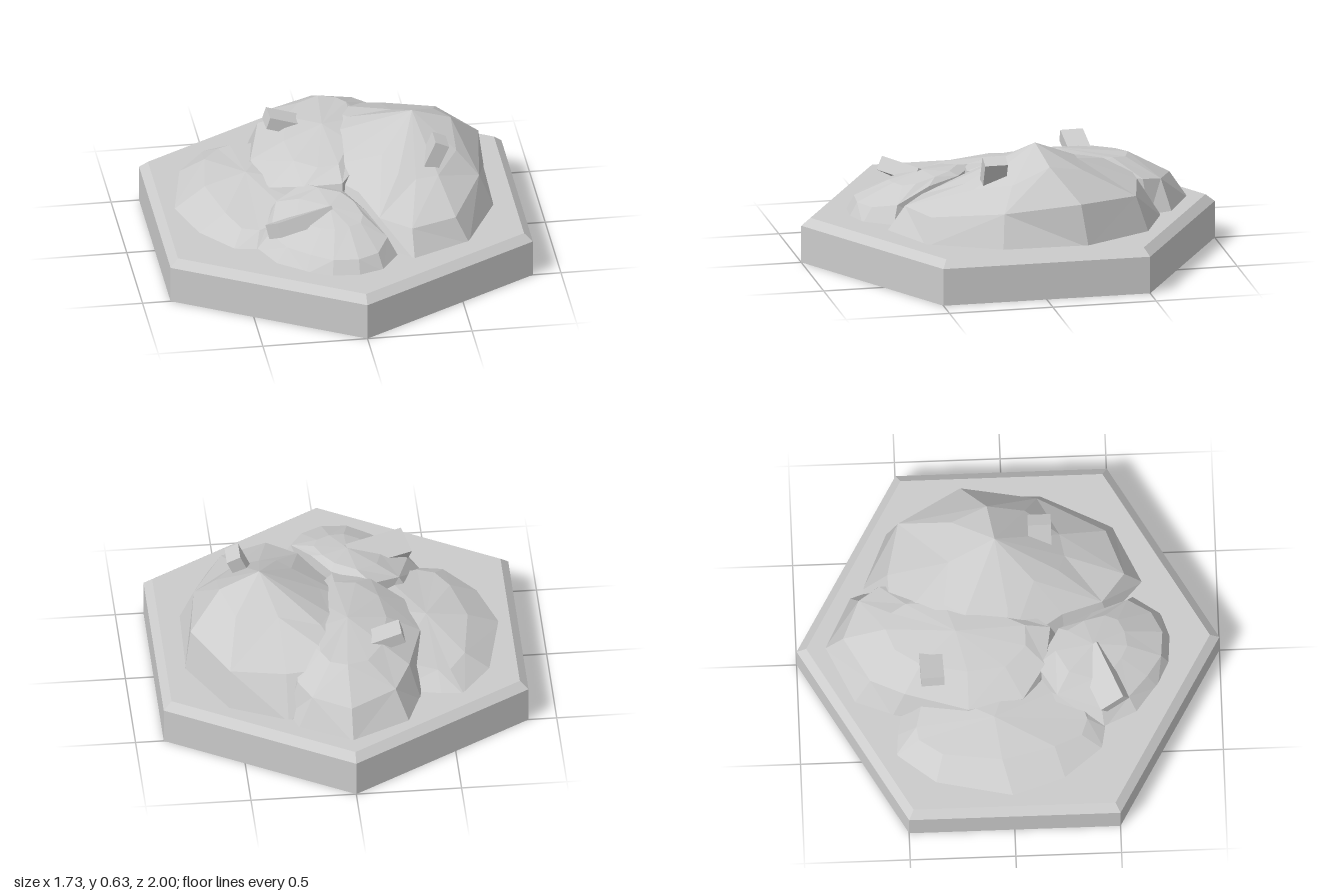
import * as THREE from 'three';

const material = new THREE.MeshStandardMaterial({ color: 0xcccccc, flatShading: true });

function add(group, name, geometry) {
  const mesh = new THREE.Mesh(geometry, material);
  mesh.name = name;
  group.add(mesh);
  return mesh;
}

// Faceted mound: a ground outline [x, z], rising rings [x, y, z] and a peak
function moundGeometry(outline, rings, peak) {
  const loops = [outline.map(([x, z]) => [x, 0.205, z]), ...rings];
  const n = outline.length;
  const pos = [];
  const tri = (a, b, c) => pos.push(...a, ...b, ...c);
  for (let i = 0; i < n; i++) {
    const j = (i + 1) % n;
    for (let k = 0; k < loops.length - 1; k++) {
      const [a, b, c, d] = [loops[k][i], loops[k][j], loops[k + 1][j], loops[k + 1][i]];
      // Alternate the diagonals for an irregular rock surface
      if ((i + k) % 2) { tri(a, b, c); tri(a, c, d); }
      else { tri(a, b, d); tri(b, c, d); }
    }
    const top = loops[loops.length - 1];
    tri(top[i], top[j], peak);
  }
  const geometry = new THREE.BufferGeometry();
  geometry.setAttribute('position', new THREE.Float32BufferAttribute(pos, 3));
  geometry.computeVertexNormals();
  return geometry;
}

export function createModel() {
  const group = new THREE.Group();

  // Hexagonal tile with a bevelled upper edge
  add(group, 'tileBase', new THREE.CylinderGeometry(1, 1, 0.18, 6)).position.y = 0.09;
  add(group, 'tileBevel', new THREE.CylinderGeometry(0.955, 1, 0.036, 6)).position.y = 0.198;

  // Tall mound on the model's left
  add(group, 'tallMound', moundGeometry(
    [[0.28, 0.65], [0.56, 0.52], [0.73, 0.18], [0.74, -0.23], [0.56, -0.56], [0.29, -0.68],
      [0, -0.65], [-0.25, -0.3], [-0.2, 0.05], [0, 0.27], [0.1, 0.48]],
    [
      [[0.28, 0.33, 0.56], [0.5, 0.33, 0.48], [0.66, 0.37, 0.16], [0.71, 0.41, -0.2],
        [0.55, 0.39, -0.5], [0.29, 0.4, -0.56], [0, 0.42, -0.55], [-0.15, 0.4, -0.3],
        [-0.1, 0.38, 0], [0.07, 0.38, 0.26], [0.14, 0.34, 0.45]],
      [[0.34, 0.44, 0.28], [0.45, 0.44, 0.26], [0.56, 0.48, 0.1], [0.56, 0.56, -0.08],
        [0.5, 0.52, -0.25], [0.3, 0.52, -0.27], [0.1, 0.48, -0.3], [0.05, 0.47, -0.2],
        [0.08, 0.47, 0], [0.2, 0.5, 0.13], [0.26, 0.46, 0.25]],
    ],
    [0.37, 0.63, -0.05]));

  // Broad mound at the back
  add(group, 'backMound', moundGeometry(
    [[0, 0.25], [0.15, 0], [0.25, -0.3], [0.29, -0.62], [0.25, -0.74], [0, -0.87],
      [-0.28, -0.74], [-0.35, -0.56], [-0.42, -0.2], [-0.37, 0.08], [-0.2, 0.2]],
    [
      [[0, 0.4, 0.2], [0.14, 0.43, 0], [0.22, 0.43, -0.3], [0.24, 0.38, -0.6],
        [0.18, 0.36, -0.7], [0, 0.34, -0.78], [-0.22, 0.35, -0.66], [-0.3, 0.37, -0.5],
        [-0.38, 0.34, -0.2], [-0.33, 0.33, 0.06], [-0.18, 0.38, 0.17]],
      [[0, 0.44, 0.08], [0.08, 0.46, -0.1], [0.12, 0.47, -0.3], [0.12, 0.46, -0.48],
        [0.08, 0.45, -0.55], [0, 0.45, -0.58], [-0.1, 0.44, -0.54], [-0.18, 0.44, -0.42],
        [-0.22, 0.43, -0.2], [-0.2, 0.42, -0.02], [-0.1, 0.43, 0.08]],
    ],
    [-0.03, 0.48, -0.25]));

  // Low mound on the model's right
  add(group, 'lowMound', moundGeometry(
    [[-0.45, 0.46], [-0.2, 0.4], [-0.1, 0], [-0.2, -0.5], [-0.45, -0.55],
      [-0.56, -0.56], [-0.71, -0.37], [-0.79, 0], [-0.71, 0.25], [-0.56, 0.44]],
    [
      [[-0.42, 0.27, 0.36], [-0.25, 0.3, 0.3], [-0.2, 0.33, 0], [-0.25, 0.32, -0.4],
        [-0.44, 0.29, -0.45], [-0.5, 0.28, -0.44], [-0.58, 0.29, -0.33],
        [-0.62, 0.3, -0.05], [-0.56, 0.29, 0.2], [-0.5, 0.27, 0.33]],
    ],
    [-0.42, 0.345, -0.08]));

  // Rounded mound at the front
  add(group, 'frontMound', moundGeometry(
    [[0, 0.77], [0.12, 0.73], [0.21, 0.6], [0.1, 0.4], [0, 0.2], [-0.2, 0.1],
      [-0.4, 0.2], [-0.45, 0.44], [-0.38, 0.6], [-0.25, 0.7], [-0.13, 0.76]],
    [
      [[0, 0.28, 0.73], [0.1, 0.28, 0.68], [0.16, 0.3, 0.57], [0.08, 0.36, 0.4],
        [0, 0.38, 0.24], [-0.18, 0.38, 0.13], [-0.32, 0.34, 0.22], [-0.38, 0.29, 0.43],
        [-0.32, 0.28, 0.56], [-0.22, 0.28, 0.65], [-0.12, 0.28, 0.72]],
      [[-0.02, 0.36, 0.55], [0.04, 0.36, 0.52], [0.06, 0.37, 0.46], [0.03, 0.39, 0.36],
        [-0.02, 0.4, 0.28], [-0.12, 0.4, 0.22], [-0.22, 0.38, 0.28], [-0.25, 0.35, 0.4],
        [-0.21, 0.35, 0.48], [-0.15, 0.35, 0.53], [-0.09, 0.355, 0.56]],
    ],
    [-0.09, 0.395, 0.4]));

  // Half-buried beams: size, centre, rotation
  const beams = [
    ['uprightBeam', [0.07, 0.2, 0.11], [0.435, 0.49, 0.165], [0, 0, -0.42]],
    ['backBeam', [0.24, 0.06, 0.11], [-0.165, 0.43, -0.37], [0, 0.04, -0.32]],
    ['frontBeam', [0.3, 0.07, 0.13], [-0.235, 0.338, 0.435], [-0.5, 0.38, 0.04]],
  ];
  for (const [name, size, centre, turn] of beams) {
    const beam = add(group, name, new THREE.BoxGeometry(...size));
    beam.position.set(...centre);
    beam.rotation.set(...turn, 'YXZ');
  }

  return group;
}
